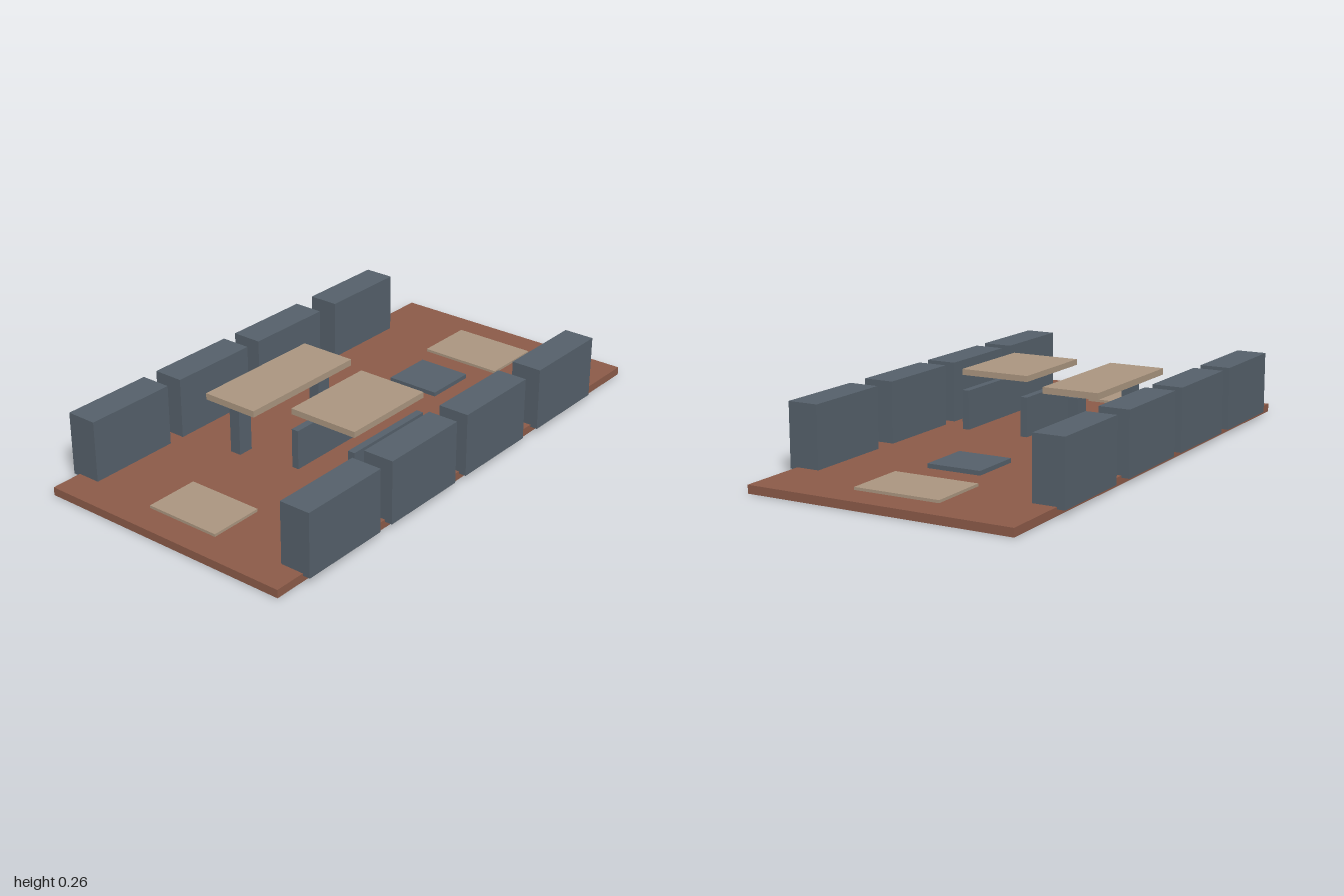
import * as THREE from 'three';

const material = (color) => new THREE.MeshStandardMaterial({ color });

export function createModel() {
  const model = new THREE.Group();
  const brick = material(0x8b5a48);
  const slate = material(0x55606a);
  const wood = material(0xaa957f);

  // Box given by its extents along each axis
  const box = (name, mat, [x0, x1], [y0, y1], [z0, z1], parent = model) => {
    const mesh = new THREE.Mesh(new THREE.BoxGeometry(x1 - x0, y1 - y0, z1 - z0), mat);
    mesh.position.set((x0 + x1) / 2, (y0 + y1) / 2, (z0 + z1) / 2);
    mesh.name = name;
    parent.add(mesh);
  };

  // Floor slab
  box('floor', brick, [-0.5, 0.5], [0, 0.03], [-1, 1]);

  // Four blocks along each long side, overhanging the floor edge
  for (const side of [-1, 1]) {
    const row = new THREE.Group();
    row.name = side > 0 ? 'leftBlockRow' : 'rightBlockRow';
    for (const z of [-0.562, -0.12, 0.292, 0.705]) {
      const x = side * 0.47;
      box('sideBlock', slate, [x - 0.058, x + 0.058], [0.022, 0.256], [z - 0.176, z + 0.176], row);
    }
    model.add(row);
  }

  // Long table on two square posts
  const longTable = new THREE.Group();
  longTable.name = 'longTable';
  box('longTableTop', wood, [-0.288, -0.068], [0.219, 0.243], [-0.06, 0.467], longTable);
  for (const z of [-0.01, 0.415]) {
    box('longTablePost', slate, [-0.2, -0.157], [0.035, 0.212], [z - 0.03, z + 0.03], longTable);
  }
  model.add(longTable);

  // Wide table with a panel under each long edge
  const wideTable = new THREE.Group();
  wideTable.name = 'wideTable';
  box('wideTableTop', wood, [0.038, 0.312], [0.237, 0.259], [0.014, 0.393], wideTable);
  for (const x of [0.038, 0.285]) {
    box('wideTablePanel', slate, [x, x + 0.027], [0.033, 0.18], [0.014, 0.393], wideTable);
  }
  model.add(wideTable);

  // Low slabs lying on the floor
  box('backMat', wood, [-0.163, 0.16], [0.031, 0.041], [-0.885, -0.652]);
  box('frontMat', wood, [-0.148, 0.143], [0.031, 0.041], [0.69, 0.895]);
  box('floorPad', slate, [-0.105, 0.102], [0.035, 0.051], [-0.546, -0.344]);

  return model;
}
